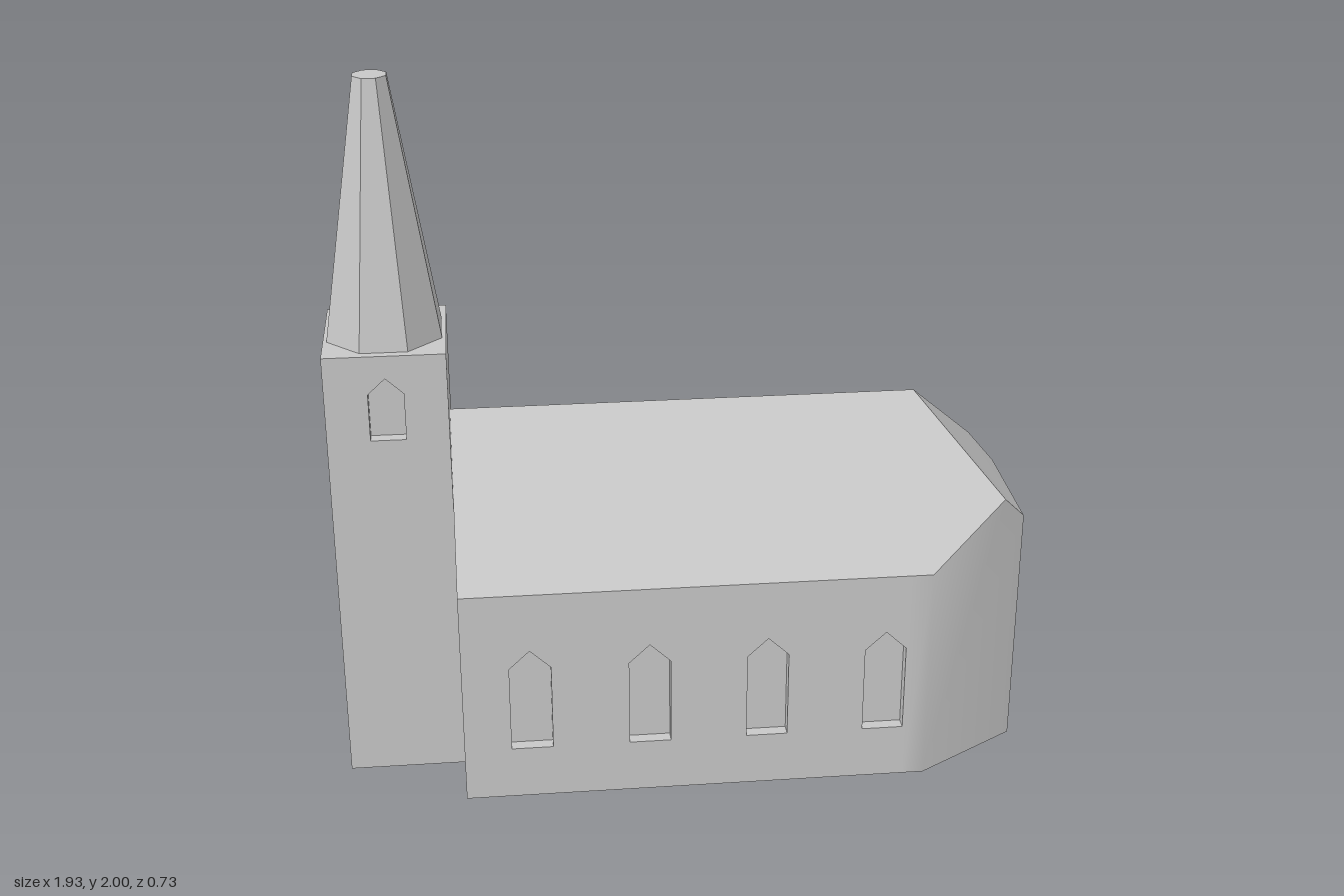
import * as THREE from 'three';
import { toCreasedNormals } from 'three/addons/utils/BufferGeometryUtils.js';

const stone = new THREE.MeshStandardMaterial({ color: 0xc8c8c8 });
stone.name = 'stone grey';

const DEPTH = 0.035; // depth of window and door recesses
const WEST = -0.64, BEND = 0.67, EAST = 0.965, HALF = 0.365, APSE = 0.185;
const EAVES = 0.645, RIDGE = 1.045;
const hip = [0.897, 0.797, 0.227]; // where the hip meets the angled wall

// Convex polygons, counter-clockwise from outside, as flat faces
function faces(polygons) {
  const pos = [];
  for (const p of polygons)
    for (let i = 1; i < p.length - 1; i++) pos.push(...p[0], ...p[i], ...p[i + 1]);
  const g = new THREE.BufferGeometry();
  g.setAttribute('position', new THREE.Float32BufferAttribute(pos, 3));
  g.computeVertexNormals();
  return g;
}

// Mirror a polygon to the other side, keeping it facing outwards
const sided = (poly, s) => {
  const p = poly.map(([x, y, z]) => [x, y, z * s]);
  return s < 0 ? p.reverse() : p;
};

function add(parent, name, geometry) {
  const m = new THREE.Mesh(geometry, stone);
  m.name = name;
  parent.add(m);
  return m;
}

// Pointed opening: centre, width, sill, springing and tip heights
const pointed = (c, w, y0, y1, y2) =>
  [[c - w / 2, y0], [c + w / 2, y0], [c + w / 2, y1], [c, y2], [c - w / 2, y1]];

// Wall facing +z with recessed openings
function wall(parent, name, u0, u1, height, openings) {
  const g = new THREE.Group();
  g.name = name;
  const v = (pts) => pts.map(([x, y]) => new THREE.Vector2(x, y));
  const shape = new THREE.Shape(v([[u0, 0], [u1, 0], [u1, height], [u0, height]]));
  for (const o of openings) shape.holes.push(new THREE.Path(v(o)));
  add(g, name + 'Face', new THREE.ShapeGeometry(shape));
  for (const o of openings) {
    const polys = [o.map(([x, y]) => [x, y, -DEPTH])];
    o.forEach((a, i) => {
      const b = o[(i + 1) % o.length];
      polys.push([[...a, 0], [...b, 0], [...b, -DEPTH], [...a, -DEPTH]]);
    });
    add(g, 'recess', faces(polys));
  }
  parent.add(g);
  return g;
}

function buildNave() {
  const nave = new THREE.Group();
  nave.name = 'nave';
  const split = 0.61;
  for (const s of [1, -1]) {
    const side = s > 0 ? 'front' : 'back';
    // Long wall with four windows
    const windows = [-0.45, -0.118, 0.213, 0.545].map((x) => pointed(x * s, 0.116, 0.157, 0.415, 0.47));
    const ends = [WEST * s, split * s].sort((a, b) => a - b);
    const w = wall(nave, side + 'Wall', ends[0], ends[1], EAVES, windows);
    w.position.z = HALF * s;
    if (s < 0) w.rotation.y = Math.PI;

    // Angled wall, blended softly into the long wall
    const bend = faces([
      sided([[split, 0, HALF], [BEND, 0, HALF], [BEND, EAVES, HALF], [split, EAVES, HALF]], s),
      sided([[BEND, 0, HALF], [EAST, 0, APSE], [EAST, 0.722, APSE], hip, [BEND, EAVES, HALF]], s),
    ]);
    add(nave, side + 'AngledWall', toCreasedNormals(bend, 0.7));

    // Main roof slope
    add(nave, side + 'Roof', faces([sided([
      [WEST, EAVES, HALF], [BEND, EAVES, HALF], hip, [BEND, RIDGE, 0], [WEST, RIDGE, 0],
    ], s)]));
  }
  const hipBack = [hip[0], hip[1], -hip[2]];
  add(nave, 'hipRoof', faces([[
    [EAST, 0.722, APSE], [EAST, 0.722, -APSE], hipBack, [BEND, RIDGE, 0], hip,
  ]]));
  add(nave, 'endWall', faces([[
    [EAST, 0, APSE], [EAST, 0, -APSE], [EAST, 0.722, -APSE], [EAST, 0.722, APSE],
  ]]));
  add(nave, 'gableWall', faces([[
    [WEST, 0, -HALF], [WEST, 0, HALF], [WEST, EAVES, HALF], [WEST, RIDGE, 0], [WEST, EAVES, -HALF],
  ]]));
  add(nave, 'floor', faces([[
    [WEST, 0, -HALF], [BEND, 0, -HALF], [EAST, 0, -APSE],
    [EAST, 0, APSE], [BEND, 0, HALF], [WEST, 0, HALF],
  ]]));
  return nave;
}

function buildTower() {
  const tower = new THREE.Group();
  tower.name = 'tower';
  tower.position.x = -0.805;
  const hx = 0.165, hz = 0.18, top = 1.285;
  const belfry = pointed(0, 0.096, 1.04, 1.175, 1.22);
  const door = pointed(0, 0.13, 0.035, 0.225, 0.295);

  // Four walls: windows front and back, door on the outer end
  wall(tower, 'towerFront', -hx, hx, top, [belfry]).position.z = hz;
  const back = wall(tower, 'towerBack', -hx, hx, top, [belfry]);
  back.position.z = -hz;
  back.rotation.y = Math.PI;
  const outer = wall(tower, 'towerDoorWall', -hz, hz, top, [door]);
  outer.position.x = -hx;
  outer.rotation.y = -Math.PI / 2;
  const inner = wall(tower, 'towerInnerWall', -hz, hz, top, []);
  inner.position.x = hx;
  inner.rotation.y = Math.PI / 2;

  // Top and underside
  add(tower, 'towerTop', faces([[[-hx, top, hz], [hx, top, hz], [hx, top, -hz], [-hx, top, -hz]]]));
  add(tower, 'towerBase', faces([[[-hx, 0, -hz], [hx, 0, -hz], [hx, 0, hz], [-hx, 0, hz]]]));

  // Eight-sided tapering spire with a flat tip
  const k = Math.cos(Math.PI / 8);
  const cone = new THREE.CylinderGeometry(0.044 / k, 0.155 / k, 2 - top, 8).rotateY(Math.PI / 8).toNonIndexed();
  cone.computeVertexNormals();
  add(tower, 'spire', cone).position.y = (2 + top) / 2;
  return tower;
}

export function createModel() {
  const church = new THREE.Group();
  church.name = 'church';
  church.add(buildNave(), buildTower());
  return church;
}
